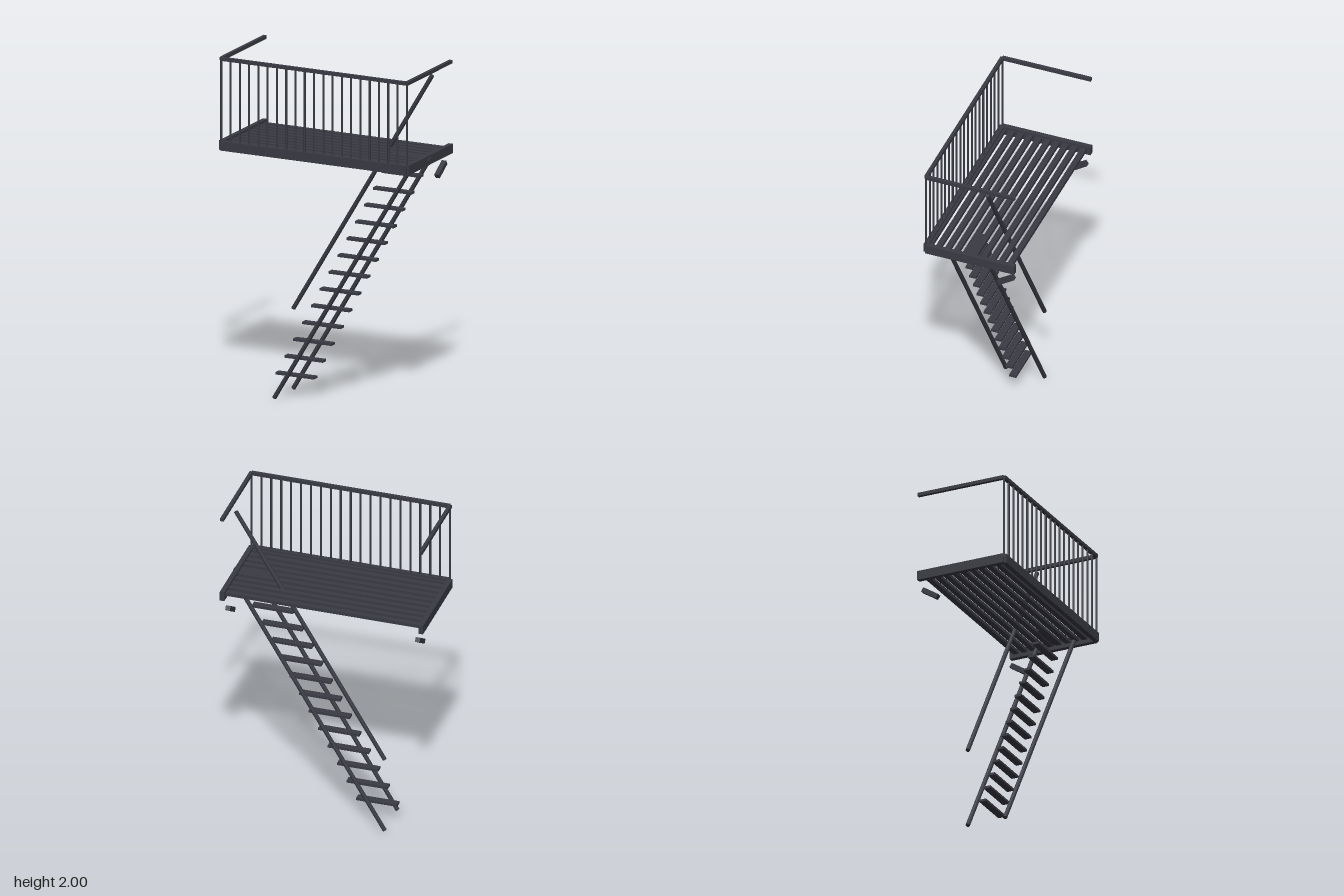
import * as THREE from 'three';

export function createModel() {
  const model = new THREE.Group();
  model.name = 'fireEscape';
  const iron = new THREE.MeshStandardMaterial({ color: 0x3a3a44 });
  iron.name = 'dark iron';

  function add(name, geometry, x, y, z) {
    const mesh = new THREE.Mesh(geometry, iron);
    mesh.name = name;
    mesh.position.set(x, y, z);
    model.add(mesh);
    return mesh;
  }
  const box = (name, w, h, d, x, y, z) => add(name, new THREE.BoxGeometry(w, h, d), x, y, z);

  // Round bar between two points
  function bar(name, a, b, radius) {
    const from = new THREE.Vector3(...a), to = new THREE.Vector3(...b);
    const dir = to.clone().sub(from);
    const mid = from.clone().add(to).multiplyScalar(0.5);
    const mesh = add(name, new THREE.CylinderGeometry(radius, radius, dir.length(), 10), mid.x, mid.y, mid.z);
    mesh.quaternion.setFromUnitVectors(new THREE.Vector3(0, 1, 0), dir.normalize());
  }

  // Centre lines of the three-sided frame, open at the back
  const left = -0.595, right = 0.586, front = 0.264, back = -0.277;
  const width = right - left, midX = (left + right) / 2;
  const depth = front - back, midZ = (front + back) / 2;

  // Platform frame and the guard rail above it
  for (const [name, y, h, t] of [['frameBeam', 1.483, 0.055, 0.028], ['guardRail', 1.99, 0.02, 0.02]]) {
    box(name + 'Front', width, h, t, midX, y, front);
    for (const x of [left, right]) box(name + 'Side', t, h, depth, x, y, midZ);
  }

  // Platform slats
  for (let i = 0; i < 10; i++) {
    box('platformSlat', width, 0.02, 0.033, midX, 1.488, -0.237 + i * 0.0543);
  }

  // Front balusters
  for (let i = 0; i <= 20; i++) {
    const x = left + (width * i) / 20;
    bar('baluster', [x, 1.49, front], [x, 1.985, front], 0.006);
  }

  // Stair stringers and the single handrail
  for (const z of [0.136, -0.099]) {
    bar('stairStringer', [-0.324, 0.007, z], [0.56, 1.483, z], 0.0125);
  }
  bar('stairHandrail', [-0.324, 0.475, -0.099], [0.56, 1.948, -0.099], 0.0125);

  // Stair treads
  for (let i = 0; i < 14; i++) {
    box('stairTread', 0.244, 0.014, 0.042, -0.245 + i * 0.0563, 0.122 + i * 0.1053, 0.016);
  }

  // Sloping wall brackets under the back corners
  for (const x of [-0.571, 0.557]) {
    box('wallBracket', 0.028, 0.028, 0.112, x, 1.372, -0.211).rotation.x = 0.58;
  }

  return model;
}
